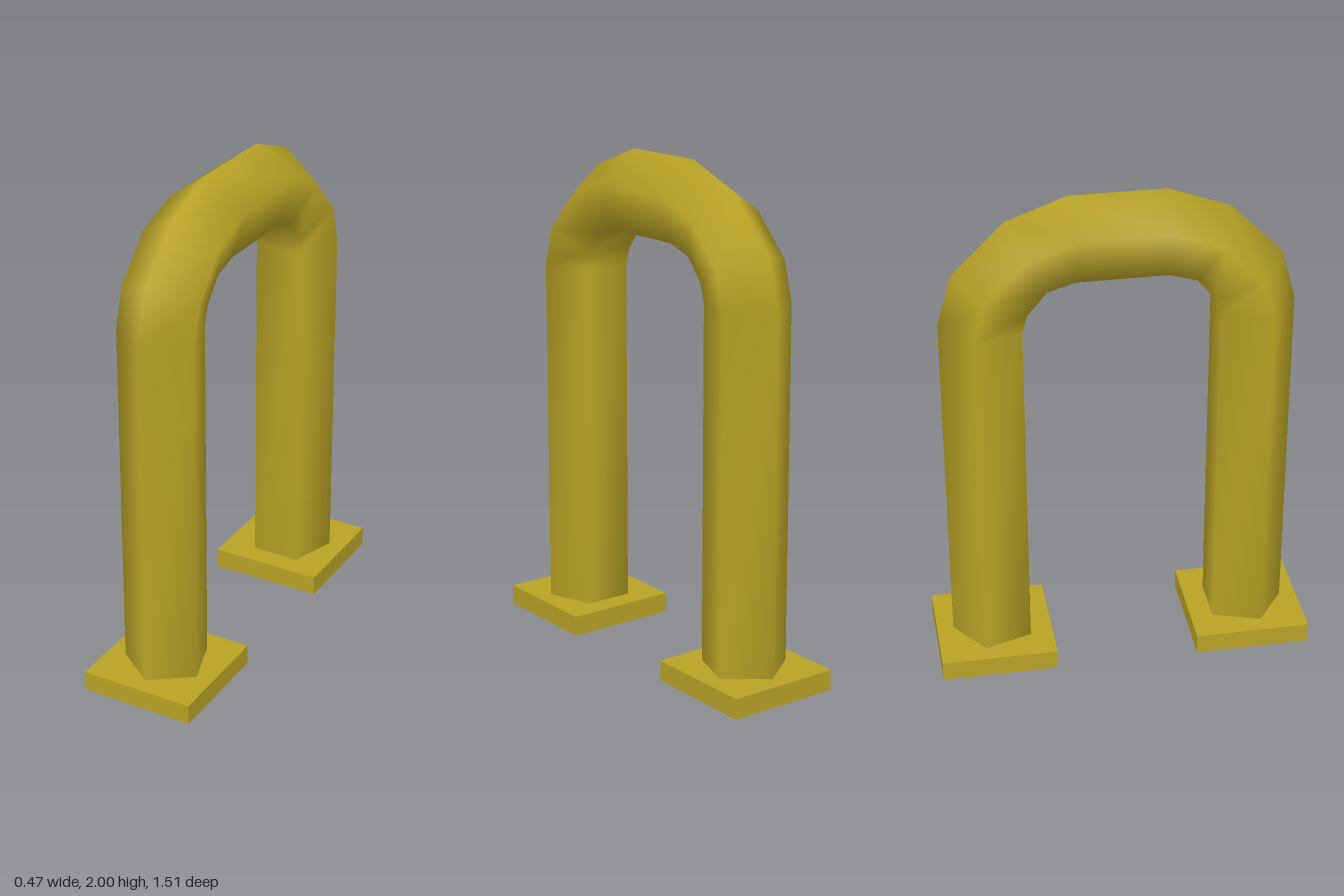
import * as THREE from 'three';

// Pipe rings in the z-y plane from foot to top: [outer z, outer y, inner z, inner y]
const HALF = [
  [0.69, 0.04, 0.381, 0.04],
  [0.69, 1.5, 0.381, 1.5],
  [0.634, 1.705, 0.36, 1.57],
  [0.428, 1.911, 0.284, 1.66],
  [0.188, 2.0, 0.176, 1.692],
];

// Pentagon section: [x, fraction from inner to outer side]
const SECTION = [[0, 1], [0.163, 0.618], [0.1, 0], [-0.1, 0], [-0.163, 0.618]];

function pipeGeometry() {
  const mirrored = HALF.map(([oz, oy, iz, iy]) => [-oz, oy, -iz, iy]).reverse();
  const rings = [...HALF, ...mirrored];
  const n = SECTION.length;
  const positions = [];
  const index = [];
  rings.forEach(([oz, oy, iz, iy], r) => {
    for (const [x, t] of SECTION) positions.push(x, iy + (oy - iy) * t, iz + (oz - iz) * t);
    if (r === 0) return;
    for (let i = 0; i < n; i++) {
      const j = (i + 1) % n;
      const a = (r - 1) * n + i, b = (r - 1) * n + j, c = r * n + j, d = r * n + i;
      index.push(a, b, c, a, c, d);
    }
  });
  const g = new THREE.BufferGeometry();
  g.setAttribute('position', new THREE.Float32BufferAttribute(positions, 3));
  g.setIndex(index);
  // Orient faces outward: the first quad spans outer apex to +x shoulder
  g.computeVertexNormals();
  if (g.attributes.normal.getZ(0) < 0) {
    g.setIndex(index.reverse());
    g.computeVertexNormals();
  }
  return g;
}

export function createModel() {
  const model = new THREE.Group();
  model.name = 'bikeRack';
  const paint = new THREE.MeshStandardMaterial({ color: 0xb8a225 });
  paint.name = 'mustardYellow';

  // Bent pipe
  const pipe = new THREE.Mesh(pipeGeometry(), paint);
  pipe.name = 'bentPipe';
  model.add(pipe);

  // Square foot plates
  for (const [name, side] of [['frontFoot', 1], ['backFoot', -1]]) {
    const foot = new THREE.Mesh(new THREE.BoxGeometry(0.466, 0.082, 0.468), paint);
    foot.name = name;
    foot.position.set(0, 0.041, side * 0.523);
    model.add(foot);
  }
  return model;
}
